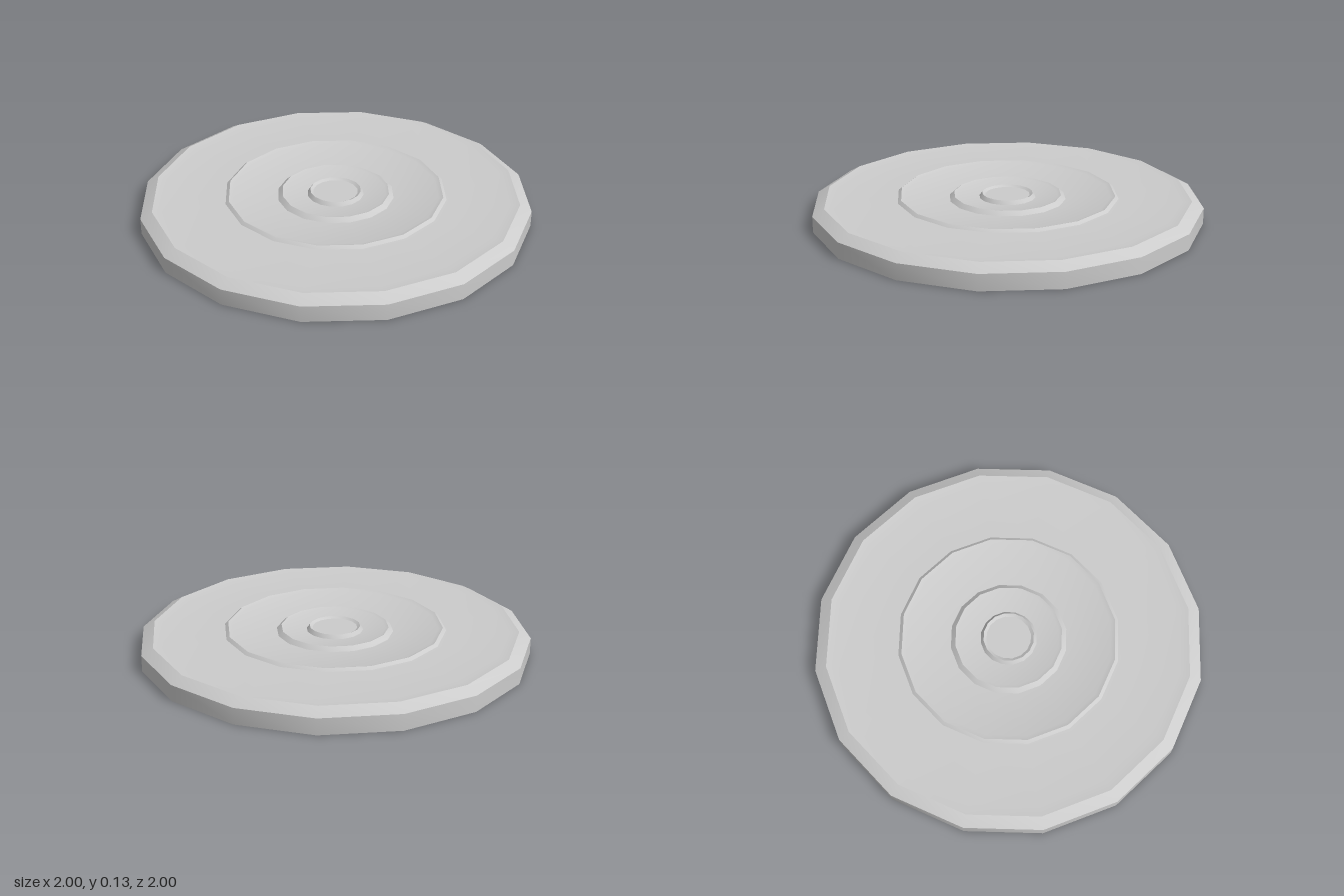
import * as THREE from 'three';
import { toCreasedNormals } from 'three/addons/utils/BufferGeometryUtils.js';

const SIDES = 16;
const material = new THREE.MeshStandardMaterial({ color: 0xcccccc });

// Turns a list of [radius, height] into a 16-sided ring or disc
function turned(name, profile) {
  const points = profile.map(([r, y]) => new THREE.Vector2(r, y));
  const geometry = toCreasedNormals(new THREE.LatheGeometry(points, SIDES), 0.45);
  const mesh = new THREE.Mesh(geometry, material);
  mesh.name = name;
  return mesh;
}

export function createModel() {
  const group = new THREE.Group();
  group.name = 'steppedDisc';

  // Flat underside, upright wall, chamfer and rim that dips inward
  group.add(turned('base', [[0, 0], [1, 0], [1, 0.083], [0.94, 0.116], [0.89, 0.109], [0.57, 0.113]]));

  // Low ridge and the shallow dish inside it
  group.add(turned('outerRidge', [[0.57, 0.113], [0.553, 0.126], [0.53, 0.118], [0.3, 0.1]]));

  // Middle step
  group.add(turned('middleRidge', [[0.3, 0.1], [0.276, 0.12], [0.26, 0.115], [0.145, 0.104]]));

  // Centre boss with a slightly sunken top
  group.add(turned('centreBoss', [[0.145, 0.104], [0.13, 0.123], [0.115, 0.114], [0, 0.114]]));

  return group;
}
